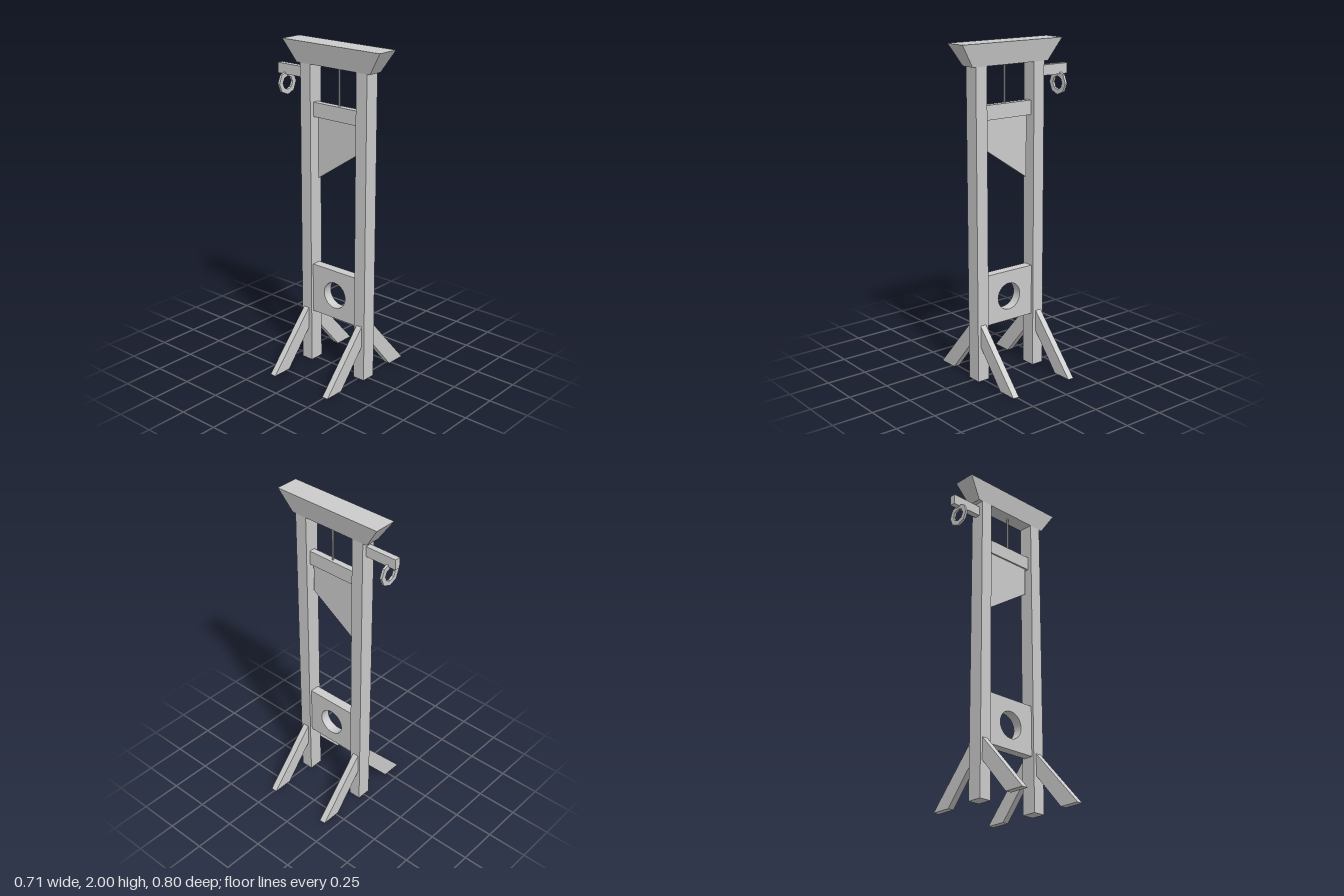
import * as THREE from 'three';

const material = new THREE.MeshStandardMaterial({ color: 0xcccccc, flatShading: true });

export function createModel() {
  const model = new THREE.Group();

  const add = (name, geometry) => {
    const mesh = new THREE.Mesh(geometry, material);
    mesh.name = name;
    model.add(mesh);
    return mesh;
  };

  // Box given by its minimum and maximum corners
  const box = (name, [x0, y0, z0], [x1, y1, z1]) =>
    add(name, new THREE.BoxGeometry(x1 - x0, y1 - y0, z1 - z0)
      .translate((x0 + x1) / 2, (y0 + y1) / 2, (z0 + z1) / 2));

  const polygon = (points) => new THREE.Shape(points.map(([a, b]) => new THREE.Vector2(a, b)));

  // Flat part drawn in x, y and spanning z0 to z0 + depth
  const slabZ = (shape, z0, depth) =>
    new THREE.ExtrudeGeometry(shape, { depth, bevelEnabled: false, curveSegments: 16 })
      .translate(0, 0, z0);

  // Flat part drawn in z, y and centred on x = 0
  const slabX = (shape, width) => slabZ(shape, -width / 2, width).rotateY(-Math.PI / 2);

  // Upright posts
  box('frontPost', [-0.046, 0, 0.217], [0.046, 1.87, 0.294]);
  box('backPost', [-0.046, 0, -0.198], [0.046, 1.87, -0.122]);

  // Top beam flaring outward toward its upper face
  const beam = new THREE.BoxGeometry(1, 1, 1);
  const p = beam.attributes.position;
  for (let i = 0; i < p.count; i++) {
    const upper = p.getY(i) > 0;
    const z = p.getZ(i) > 0 ? (upper ? 0.4 : 0.315) : (upper ? -0.312 : -0.225);
    p.setXYZ(i, Math.sign(p.getX(i)) * (upper ? 0.071 : 0.046), upper ? 2 : 1.87, z);
  }
  beam.computeVertexNormals();
  add('topBeam', beam);

  // Slanted blade, its holder and the rope
  box('bladeHolder', [-0.019, 1.56, -0.122], [0.019, 1.646, 0.217]);
  add('blade', slabX(polygon([[0.198, 1.56], [0.198, 1.385], [-0.096, 1.19], [-0.096, 1.56]]), 0.018));
  add('rope', new THREE.CylinderGeometry(0.006, 0.006, 0.226, 8).translate(0, 1.758, 0.058));

  // Split board: two halves with half-round notches
  const cz = 0.05, cy = 0.483, r = 0.082;
  for (const [name, edge, clockwise] of [['lowerBoard', 0.333, false], ['upperBoard', 0.642, true]]) {
    const half = new THREE.Shape();
    half.moveTo(-0.122, edge);
    half.lineTo(-0.122, cy);
    half.lineTo(cz - r, cy);
    half.absarc(cz, cy, r, Math.PI, clockwise ? 0 : Math.PI * 2, clockwise);
    half.lineTo(0.217, cy);
    half.lineTo(0.217, edge);
    add(name, slabX(half, 0.06));
  }

  // Diagonal braces, cut flat at the ground and at the posts
  for (const [place, z0] of [['front', 0.236], ['back', -0.184]]) {
    for (const [side, s] of [['Left', 1], ['Right', -1]]) {
      const brace = polygon([[0.046, 0.35], [0.046, 0.217], [0.23, 0], [0.355, 0]].map(([x, y]) => [s * x, y]));
      add(`${place}${side}Brace`, slabZ(brace, z0, 0.039));
    }
  }

  // Rear arm carrying an octagonal ring
  box('ringArm', [-0.018, 1.779, -0.4], [0.018, 1.841, -0.198]);
  const octagon = (radius) => Array.from({ length: 8 }, (_, i) => {
    const a = i * Math.PI / 4;
    return [radius * Math.cos(a), 1.726 + radius * Math.sin(a)];
  });
  const ring = polygon(octagon(0.071));
  ring.holes.push(polygon(octagon(0.041)));
  add('ring', slabZ(ring, -0.354, 0.015));

  return model;
}
